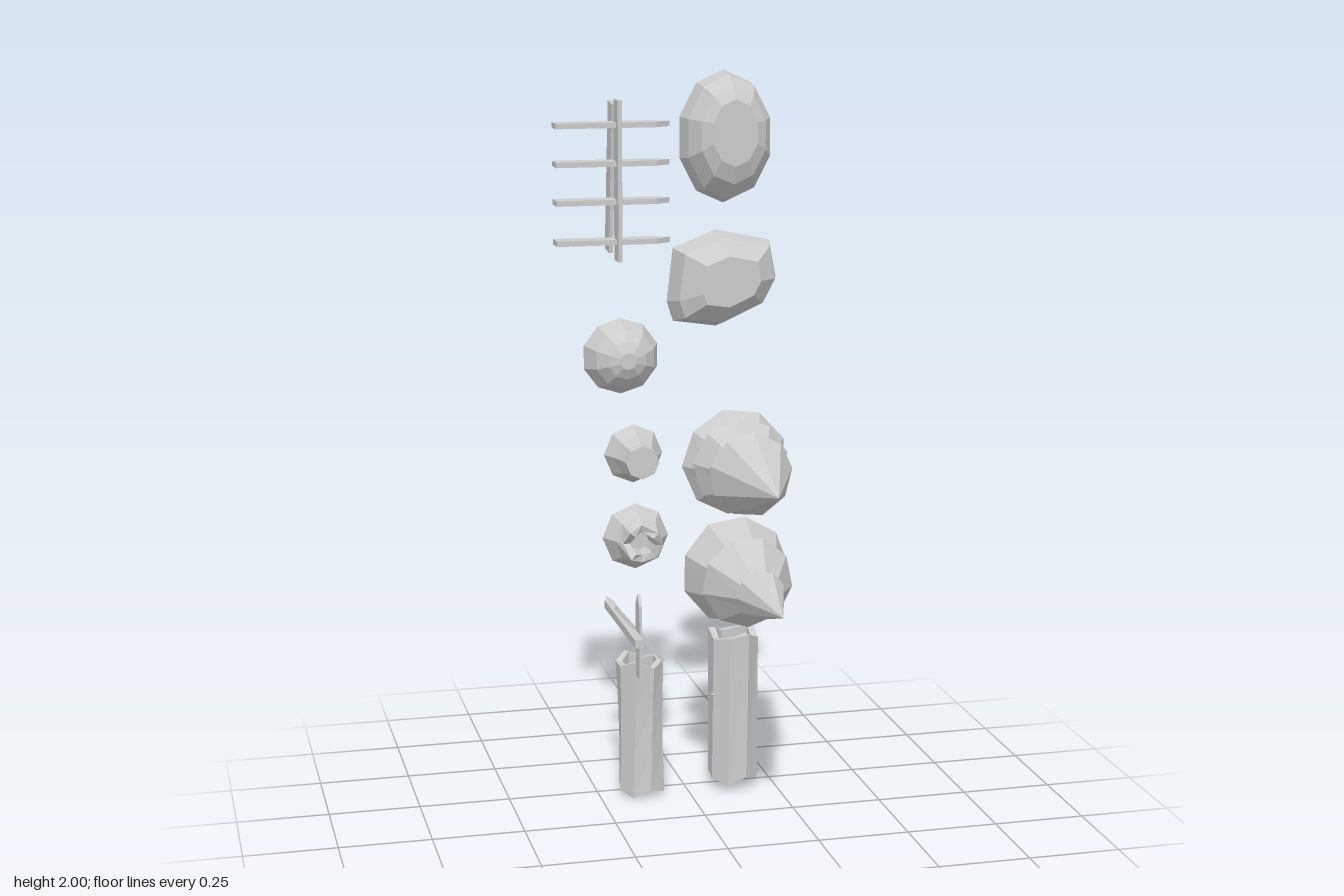
import * as THREE from 'three';

const mat = new THREE.MeshStandardMaterial({ color: 0xcccccc, flatShading: true, side: THREE.DoubleSide });
const GROUND = -0.29; // everything stands on this plane and grows along +z

// Skin between rings of equal point count (counter-clockwise seen from +z)
function loft(rings, capStart = true, capEnd = true) {
  const pos = [];
  const tri = (...p) => p.forEach(v => pos.push(v.x, v.y, v.z));
  const n = rings[0].length;
  const mid = ring => ring.reduce((s, p) => s.add(p), new THREE.Vector3()).divideScalar(n);
  for (let k = 0; k < rings.length - 1; k++) {
    const a = rings[k], b = rings[k + 1];
    for (let i = 0; i < n; i++) {
      const j = (i + 1) % n;
      tri(a[i], a[j], b[j]);
      tri(a[i], b[j], b[i]);
    }
  }
  const first = rings[0], last = rings[rings.length - 1];
  for (let i = 0; i < n; i++) {
    const j = (i + 1) % n;
    if (capStart) tri(mid(first), first[j], first[i]);
    if (capEnd) tri(mid(last), last[i], last[j]);
  }
  const g = new THREE.BufferGeometry();
  g.setAttribute('position', new THREE.Float32BufferAttribute(pos, 3));
  g.computeVertexNormals();
  return g;
}

// Regular ring; jag(i) offsets the height of single corners
const ring = (n, r, z, cx = 0, cy = 0, phase = 0, jag = () => 0) =>
  Array.from({ length: n }, (_, i) => {
    const a = phase + (i / n) * Math.PI * 2;
    return new THREE.Vector3(cx + r * Math.cos(a), cy + r * Math.sin(a), z + jag(i));
  });

function add(parent, name, geo, x = 0, y = 0, z = 0) {
  const m = new THREE.Mesh(geo, mat);
  m.name = name;
  m.position.set(x, y, z);
  parent.add(m);
  return m;
}

// Rock: an outline scaled towards a top point; layers are [z, scale]
function rock(outline, cx, cy, layers) {
  const mx = outline.reduce((s, p) => s + p[0], 0) / outline.length;
  const my = outline.reduce((s, p) => s + p[1], 0) / outline.length;
  return loft(layers.map(([z, s]) => outline.map(([x, y]) => {
    const t = Math.max(0, Math.min(1, (1 - s) / 0.5));
    const ox = mx + (cx - mx) * t, oy = my + (cy - my) * t;
    return new THREE.Vector3(ox + (x - mx) * s, oy + (y - my) * s, z);
  })));
}

const oval = (n, cx, cy, rx, ry) => Array.from({ length: n }, (_, i) => {
  const a = (i + 0.5) / n * Math.PI * 2;
  return [cx + rx * Math.cos(a), cy + ry * Math.sin(a)];
});

// Tree: flared trunk plus tiers [baseZ, baseRadius, topZ, topRadius]
function tree(name, x, y, tiers, phase) {
  const g = new THREE.Group();
  g.name = name;
  g.position.set(x, y, 0);
  add(g, 'trunk', loft([
    ring(8, 0.082, GROUND), ring(8, 0.056, -0.24), ring(8, 0.045, -0.19), ring(8, 0.05, -0.1),
  ]));
  tiers.forEach(([z0, r0, z1, r1], k) => {
    const ph = phase + k * 0.15;
    add(g, 'foliageTier', loft([
      ring(9, r0, z0, 0, 0, ph, i => (i % 2 ? 0.004 : -0.004)),
      ring(9, r1, z1, 0, 0, ph),
    ]));
  });
  return g;
}

// Hollow log lying along y
function log(r, length, rings, jag, phase) {
  const n = 8, outer = [];
  for (let k = 0; k <= rings; k++) {
    const t = k / rings;
    const rr = r * (1 - 0.07 * Math.sin(Math.PI * t));
    const end = k === 0 || k === rings;
    outer.push(ring(n, rr, (t - 0.5) * length, 0, 0, phase + 0.08 * k, i => (end ? jag * Math.sin(i * 2.3 + k) : 0)));
  }
  const inset = rg => rg.map(p => new THREE.Vector3(p.x * 0.72, p.y * 0.72, p.z));
  const skin = [...outer, inset(outer[rings]), inset(outer[0]), outer[0]];
  return loft(skin, false, false).rotateX(-Math.PI / 2);
}

// Plank with one pointed end (+y), lying flat in the xy plane
function plank(length, width, thickness, point) {
  const h = length / 2, w = width / 2;
  const s = new THREE.Shape([[-w, -h], [w, -h], [w, h - point], [0, h], [-w, h - point]]
    .map(p => new THREE.Vector2(...p)));
  return new THREE.ExtrudeGeometry(s, { depth: thickness, bevelEnabled: false }).translate(0, 0, -thickness / 2);
}

export function createModel() {
  const root = new THREE.Group();
  root.name = 'forestProps';

  // Rocks
  add(root, 'tallRock', rock(oval(10, 0.115, 1.825, 0.127, 0.178), 0.115, 1.845,
    [[-0.29, 0.95], [-0.272, 1], [-0.205, 0.93], [-0.155, 0.72], [-0.136, 0.5]]));
  const broad = [[0.27, 1.44], [0.25, 1.54], [0.1, 1.572], [-0.02, 1.525],
    [-0.037, 1.38], [-0.02, 1.325], [0.1, 1.307], [0.23, 1.365]];
  add(root, 'broadRock', rock(broad, 0.115, 1.44, [[-0.312, 0.93], [-0.292, 1], [-0.225, 0.87], [-0.175, 0.52]]));
  add(root, 'smallRock', rock(oval(10, -0.17, 1.237, 0.107, 0.104), -0.17, 1.24,
    [[-0.292, 0.9], [-0.275, 1], [-0.215, 0.78], [-0.185, 0.5], [-0.17, 0.22]]));

  // Trees
  root.add(tree('slimTree', 0.115, 0.96, [
    [0.037, 0.115, 0.307, 0.001], [-0.065, 0.133, 0.05, 0.068], [-0.13, 0.148, -0.05, 0.1],
  ], 0.1));
  root.add(tree('wideTree', 0.128, 0.643, [
    [0.095, 0.068, 0.31, 0.001], [-0.04, 0.128, 0.1, 0.045], [-0.172, 0.153, -0.02, 0.1],
  ], 0.4));

  // Cut stump
  add(root, 'cutStump', loft([
    ring(8, 0.082, GROUND), ring(8, 0.062, -0.245), ring(8, 0.048, -0.2), ring(8, 0.046, -0.168),
  ]), -0.133, 0.96);

  // Broken stump with a jagged hollow top
  const jag = i => [0.015, 0.03, -0.015, 0.01, -0.02, 0.02, -0.01, 0.005][i];
  add(root, 'brokenStump', loft([
    ring(8, 0.093, GROUND), ring(8, 0.066, -0.245), ring(8, 0.052, -0.19, 0, 0, 0, jag),
    ring(8, 0.032, -0.195, 0, 0, 0, jag), ring(8, 0.026, -0.24),
  ]), -0.128, 0.725);

  // Hollow logs
  add(root, 'shortLog', log(0.067, 0.375, 3, 0.012, 0.2), -0.13, 0.2, -0.224).rotation.z = 0.015;
  const longLog = add(root, 'longLog', log(0.07, 0.42, 1, 0.012, 0.35), 0.136, 0.238, -0.224);
  const knot = add(longLog, 'knot', new THREE.ConeGeometry(0.014, 0.03, 5), -0.06, 0.04, 0.025);
  knot.rotation.z = Math.PI / 2;

  // Picket fence: pickets point along +z, rails run along y
  const fence = new THREE.Group();
  fence.name = 'fence';
  for (const y of [1.875, 1.775, 1.675, 1.57]) {
    const picket = add(fence, 'picket', plank(0.308, 0.054, 0.014, 0.042), -0.219, y, -0.134);
    picket.rotation.set(Math.PI / 2, Math.PI / 2, 0, 'YXZ');
  }
  add(fence, 'rail', new THREE.BoxGeometry(0.011, 0.42, 0.053), -0.208, 1.73, -0.114);
  add(fence, 'slantedRail', new THREE.BoxGeometry(0.011, 0.4, 0.053), -0.208, 1.73, -0.212).rotation.x = 0.13;
  root.add(fence);

  // Signpost with two pointed boards
  const sign = new THREE.Group();
  sign.name = 'signpost';
  add(sign, 'post', new THREE.BoxGeometry(0.023, 0.022, 0.395), -0.205, 0.535, -0.0925);
  const upper = add(sign, 'upperBoard', plank(0.23, 0.045, 0.008, 0.03), -0.19, 0.535, 0.031);
  upper.rotation.y = Math.PI / 2;
  const lower = add(sign, 'lowerBoard', plank(0.24, 0.045, 0.009, 0.03), -0.19, 0.54, -0.027);
  lower.rotation.set(0, Math.PI / 2, 0.69, 'ZYX');
  root.add(sign);

  return root;
}
